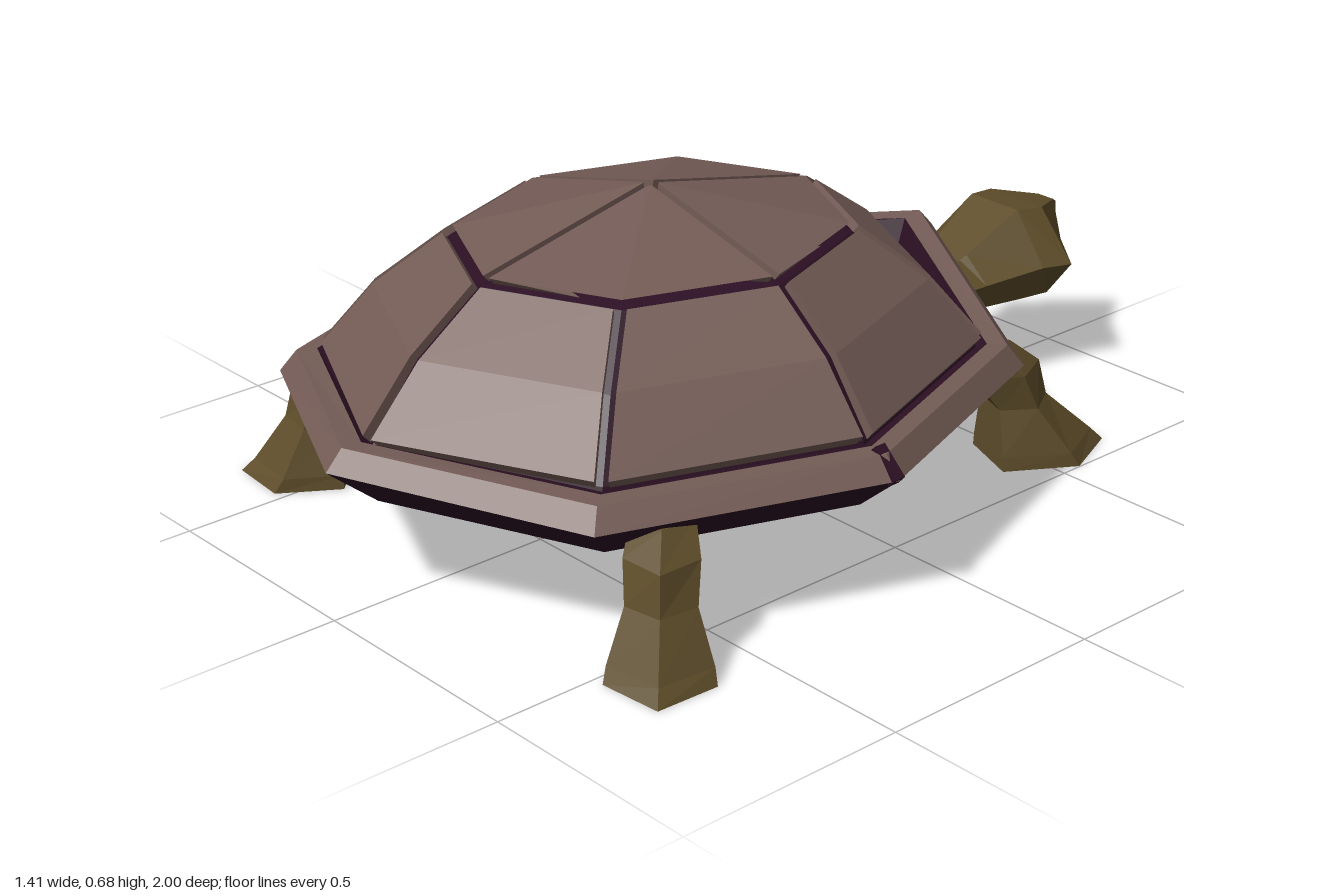
import * as THREE from 'three';

const mat = (color) => new THREE.MeshStandardMaterial({ color, flatShading: true });

// Skin a list of equal-length rings (counter-clockwise seen along the direction of travel).
function loft(rings, capStart = true, capEnd = true) {
  const n = rings[0].length, index = [];
  for (let i = 0; i < rings.length - 1; i++) {
    for (let j = 0; j < n; j++) {
      const a = i * n + j, b = i * n + (j + 1) % n;
      index.push(a, b, b + n, a, b + n, a + n);
    }
  }
  const last = (rings.length - 1) * n;
  for (let j = 1; j < n - 1; j++) {
    if (capStart) index.push(0, j + 1, j);
    if (capEnd) index.push(last, last + j, last + j + 1);
  }
  const geo = new THREE.BufferGeometry();
  geo.setAttribute('position', new THREE.Float32BufferAttribute(rings.flat(2), 3));
  geo.setIndex(index);
  geo.computeVertexNormals();
  return geo;
}

// Corner k of the shell octagon; k = 2 is the head end, k = 6 the tail end.
const SZ = 0.8 / 0.7, CZ = 0.2;
function corner(k, r, y, dx = 0, dz = 0) {
  const t = k * Math.PI / 4;
  return [r * Math.cos(t) + dx, y, CZ - r * SZ * Math.sin(t) + dz];
}
const octagon = (r, y, frontLift = 0, backLift = 0) => Array.from({ length: 8 }, (_, k) =>
  corner(k, r, y + (k === 2 ? frontLift : k === 6 ? backLift : 0)));

// Raised shell plate spanning corners k0..k1, with its sides pulled in to leave a groove.
function plate(k0, k1, profile, gap) {
  const rings = profile.map(([r, y]) => {
    const row = (rr, yy) => {
      const pts = [];
      for (let k = k0; k <= k1; k++) {
        const to = k === k0 ? k + 1 : k === k1 ? k - 1 : k;
        const a = corner(k, 1, 0), b = corner(to, 1, 0);
        const len = Math.hypot(b[0] - a[0], b[2] - a[2]) || 1;
        pts.push(corner(k, rr, yy, gap * (b[0] - a[0]) / len, gap * (b[2] - a[2]) / len));
      }
      return pts;
    };
    return [...row(r, y), ...row(Math.max(r - 0.018, 0.012), y - 0.022).reverse()];
  });
  return loft(rings);
}

// Leg leaning outwards along (dx, dz) from its hip; side mirrors it across x.
function leg(side, x, z, dx, dz, toe) {
  const len = Math.hypot(dx, dz), ux = dx / len, uz = dz / len;
  // height, back, front, half width
  const sections = [
    [0.0, 0.06, toe, 0.105],
    [0.03, 0.06, toe - 0.03, 0.1],
    [0.13, 0.06, 0.19, 0.068],
    [0.21, 0.0, 0.17, 0.072],
    [0.265, -0.06, 0.1, 0.06],
    [0.3, -0.2, -0.08, 0.05],
  ];
  const rings = sections.map(([y, back, front, w]) => {
    const mid = back + (front - back) * 0.6;
    const ring = [[back, -w * 0.7], [mid, -w], [front, 0], [mid, w], [back, w * 0.7]]
      .map(([u, v]) => [side * (x + u * ux + v * uz), y, z + u * uz - v * ux]);
    return side < 0 ? ring.reverse() : ring;
  });
  return loft(rings);
}

export function createModel() {
  const model = new THREE.Group();
  const brown = mat(0x745c56), dark = mat(0x2c1023), olive = mat(0x5e4d2a);
  const add = (name, geo, material, parent = model) => {
    const mesh = new THREE.Mesh(geo, material);
    mesh.name = name;
    parent.add(mesh);
    return mesh;
  };

  // Shell: dark core that shows through the grooves
  const shell = new THREE.Group();
  shell.name = 'shell';
  model.add(shell);
  add('shellCore', loft([octagon(0.61, 0.32), octagon(0.605, 0.335), octagon(0.505, 0.47),
    octagon(0.37, 0.578), octagon(0.001, 0.668)]), dark, shell);

  // Eight side plates and four crown plates
  const sideProfile = [[0.622, 0.352], [0.52, 0.48], [0.388, 0.586]];
  for (let k = 0; k < 8; k++) add('sidePlate', plate(k, k + 1, sideProfile, 0.014), brown, shell);
  for (let k = 0; k < 8; k += 2) {
    add('crownPlate', plate(k, k + 2, [[0.366, 0.597], [0.016, 0.684]], 0.009), brown, shell);
  }

  // Rim, lifted over the neck
  add('rimUnderside', loft([octagon(0.6, 0.2, 0.1, 0.015), octagon(0.7, 0.285, 0.105, 0.025)],
    false, false), dark, shell);
  add('rim', loft([octagon(0.7, 0.285, 0.105, 0.025), octagon(0.667, 0.33, 0.1, 0.02),
    octagon(0.628, 0.333, 0.09, 0.015)], false, false), brown, shell);
  add('rimInside', loft([octagon(0.628, 0.333, 0.09, 0.015), octagon(0.6, 0.325)],
    false, false), dark, shell);
  for (const side of [-1, 1]) {
    const groove = add('rimGroove', new THREE.BoxGeometry(0.075, 0.025, 0.026), dark, shell);
    groove.position.set(side * 0.668, 0.308, CZ);
    groove.rotation.z = -side * 0.75;
  }

  // Belly: flat, with a sloping triangle under the neck
  const b = octagon(0.6, 0.2, 0.1, 0.015);
  const belly = new THREE.BufferGeometry();
  belly.setAttribute('position', new THREE.Float32BufferAttribute(b.flat(), 3));
  belly.setIndex([1, 3, 2, 0, 3, 1, 0, 4, 3, 0, 7, 4, 7, 5, 4, 7, 6, 5]);
  belly.computeVertexNormals();
  add('belly', belly, brown, shell);

  // Neck and head: z, half width, top, middle, bottom
  const section = ([z, w, top, mid, low]) => [[w * 0.45, top], [w, mid], [w * 0.6, low],
    [-w * 0.6, low], [-w, mid], [-w * 0.45, top]].map(([x, y]) => [x, y, z]);
  add('neck', loft([[-0.2, 0.1, 0.3, 0.26, 0.21], [-0.66, 0.115, 0.305, 0.26, 0.2]].map(section)), olive);
  add('head', loft([
    [-0.6, 0.1, 0.285, 0.25, 0.205],
    [-0.66, 0.115, 0.315, 0.26, 0.188],
    [-0.8, 0.152, 0.388, 0.275, 0.184],
    [-0.87, 0.172, 0.38, 0.272, 0.184],
    [-0.97, 0.05, 0.358, 0.27, 0.19],
    [-1.0, 0.008, 0.34, 0.27, 0.2],
  ].map(section)), olive);

  // Legs
  for (const side of [1, -1]) {
    const name = side > 0 ? 'left' : 'right';
    add(name + 'FrontLeg', leg(side, 0.32, -0.38, 0.36, -0.93, 0.33), olive);
    add(name + 'BackLeg', leg(side, 0.455, 0.565, 0.72, 0.69, 0.29), olive);
  }
  return model;
}
